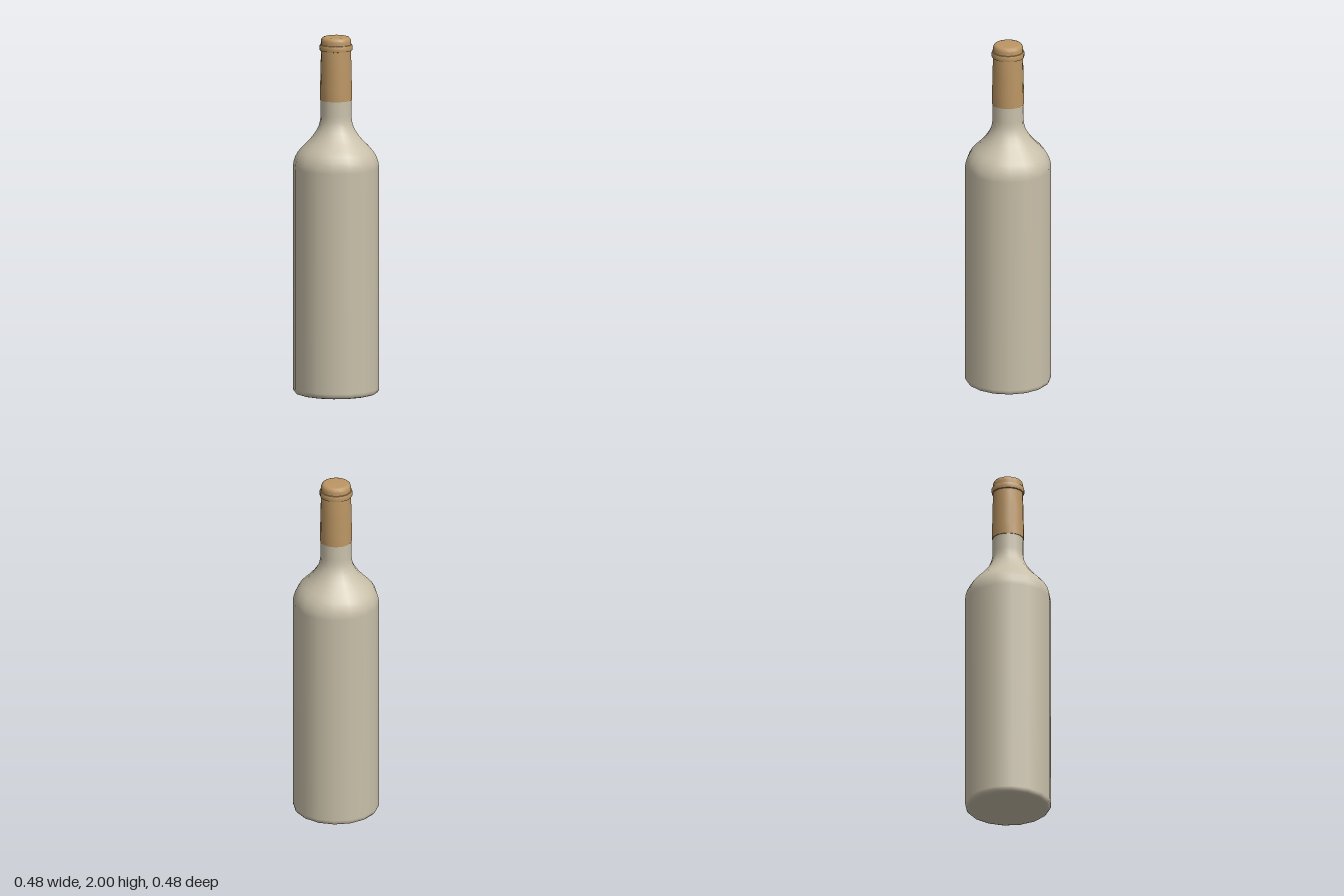
import * as THREE from 'three';
import { toCreasedNormals } from 'three/addons/utils/BufferGeometryUtils.js';

const SIDES = 16;

// Revolve a profile of [radius, height] points, listed from bottom to top
function revolve(name, profile, material, crease) {
  const points = profile.map(([r, y]) => new THREE.Vector2(r, y));
  let geometry = new THREE.LatheGeometry(points, SIDES);
  if (crease) geometry = toCreasedNormals(geometry, crease);
  const mesh = new THREE.Mesh(geometry, material);
  mesh.name = name;
  return mesh;
}

export function createModel() {
  const glass = new THREE.MeshStandardMaterial({ color: 0xc9c0aa });
  glass.name = 'pale glass';
  const foil = new THREE.MeshStandardMaterial({ color: 0xbc9664 });
  foil.name = 'tan foil';

  const bottle = new THREE.Group();
  bottle.name = 'bottle';

  // Base, straight body, rounded shoulder and neck
  bottle.add(revolve('glassBody', [
    [0, 0], [0.215, 0], [0.229, 0.005], [0.237, 0.015], [0.239, 0.03],
    [0.239, 1.265], [0.236, 1.295], [0.227, 1.325], [0.211, 1.354], [0.187, 1.382],
    [0.157, 1.411], [0.13, 1.442], [0.109, 1.473], [0.095, 1.502], [0.088, 1.53],
    [0.086, 1.56], [0.085, 1.66],
  ], glass));

  // Foil sleeve around the upper neck
  bottle.add(revolve('foilSleeve', [
    [0.084, 1.645], [0.089, 1.645], [0.088, 1.72], [0.086, 1.82], [0.083, 1.925],
  ], foil, 0.7));

  // Raised ring under the mouth
  bottle.add(revolve('lipRing', [
    [0.08, 1.922], [0.09, 1.924], [0.091, 1.93], [0.091, 1.95], [0.089, 1.956], [0.083, 1.957],
  ], foil, 0.9));

  // Rounded cap closing the top
  bottle.add(revolve('foilCap', [
    [0.084, 1.95], [0.084, 1.975], [0.081, 1.988], [0.074, 1.996], [0.062, 2], [0, 2],
  ], foil));

  return bottle;
}
